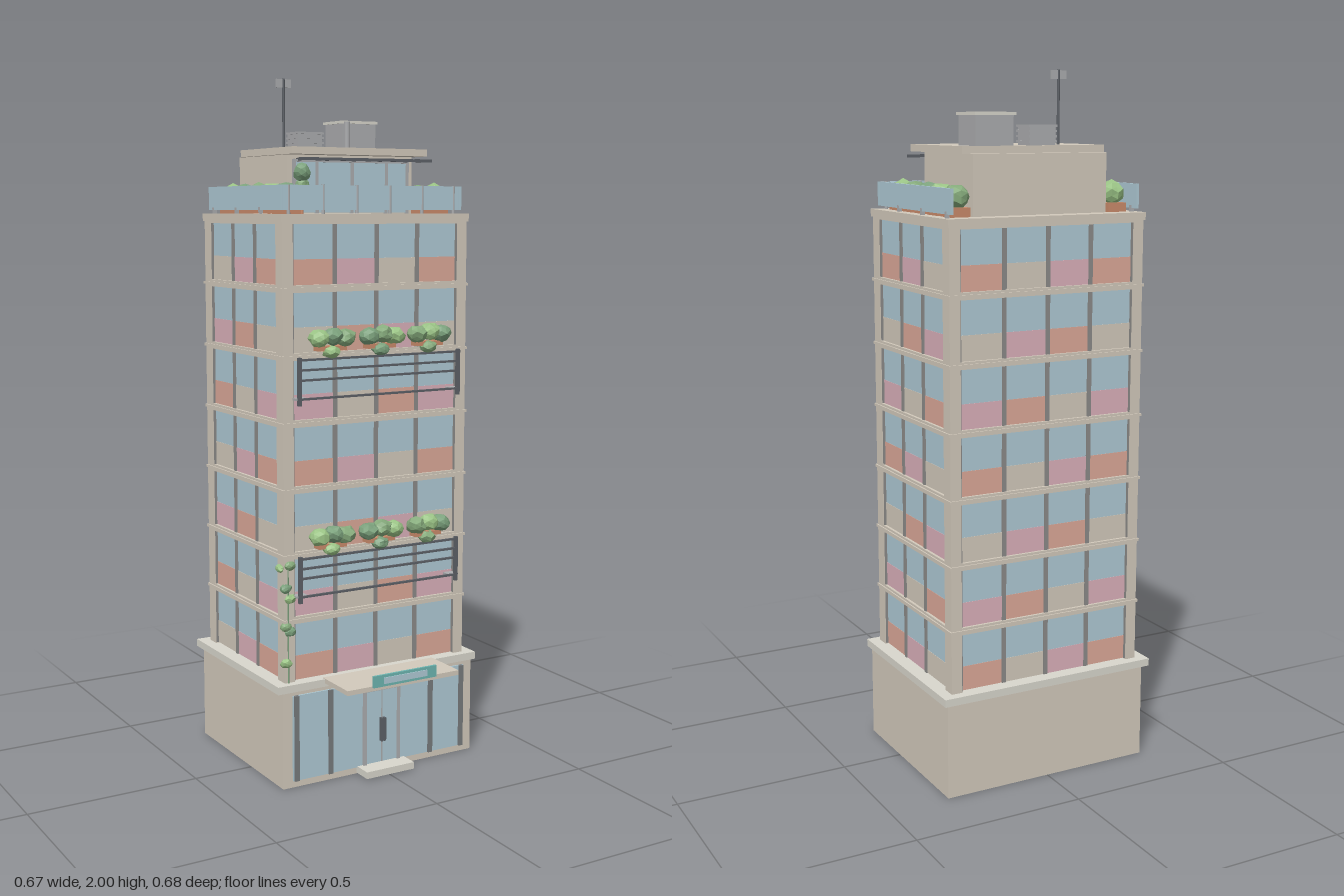
import * as THREE from 'three';

const mats = {};
const mat = (color, flat = false) => mats[color + '' + flat] ??= new THREE.MeshStandardMaterial({ color, flatShading: flat });
const WALL = 0xd2c9bb, TRIM = 0xd8d6cc, GLASS = 0xaec9d4, DARK = 0x5c6066, GREY = 0xabacae,
  SALMON = 0xdba898, PINK = 0xdab0ba, POT = 0xc98a6a, TEAL = 0x6db5b0;
const GREENS = [0x86ab7c, 0x9bc486, 0x7ba17c];
const TZ = -0.068, HX = 0.302, HZ = 0.247;      // tower centre and half sizes
const FLOORS = 7, PITCH = 0.1857, Y0 = 0.305;

// Box from its min and max along each axis
function box(parent, name, color, x0, x1, y0, y1, z0, z1) {
  const m = new THREE.Mesh(new THREE.BoxGeometry(x1 - x0, y1 - y0, z1 - z0), mat(color));
  m.position.set((x0 + x1) / 2, (y0 + y1) / 2, (z0 + z1) / 2);
  m.name = name;
  parent.add(m);
  return m;
}

function rod(parent, name, color, x, z, y0, y1, r) {
  const m = new THREE.Mesh(new THREE.CylinderGeometry(r, r, y1 - y0, 12), mat(color));
  m.position.set(x, (y0 + y1) / 2, z);
  m.name = name;
  parent.add(m);
}

// Faceted clump of leaves, made uneven by a rule on vertex direction
let seed = 1;
function bush(parent, name, x, y, z, rx, ry = rx, rz = rx) {
  const g = new THREE.IcosahedronGeometry(1, 1), p = g.attributes.position, v = new THREE.Vector3();
  const s = seed++;
  for (let i = 0; i < p.count; i++) {
    v.fromBufferAttribute(p, i);
    v.multiplyScalar(1 + 0.13 * Math.sin(v.x * 5 + s * 1.7) * Math.cos(v.y * 4 - v.z * 5 + s));
    p.setXYZ(i, v.x * rx, v.y * ry, v.z * rz);
  }
  g.computeVertexNormals();
  const m = new THREE.Mesh(g, mat(GREENS[s % 3], true));
  m.position.set(x, y, z);
  m.name = name;
  parent.add(m);
}

// One side of the tower: panes, coloured spandrels and mullions, facing local +z
function facade(parent, name, angle, half, out, cols, flip) {
  const g = new THREE.Group();
  g.name = name;
  g.position.z = TZ;
  g.rotation.y = angle;
  const w = 2 * half / cols, colors = [SALMON, PINK, WALL];
  for (let f = 0; f < FLOORS; f++) {
    const y = Y0 + f * PITCH;
    for (let c = 0; c < cols; c++) {
      const x = -half + c * w, k = flip ? cols - 1 - c : c;
      box(g, 'spandrel', colors[(f + k) % 3], x, x + w, y, y + 0.07, out - 0.02, out - 0.008);
      box(g, 'windowPane', GLASS, x, x + w, y + 0.07, y + 0.165, out - 0.02, out - 0.009);
      if (c) box(g, 'mullion', 0x8b8a88, x - 0.006, x + 0.006, y, y + 0.165, out - 0.02, out - 0.004);
    }
    for (const s of [-1, 1])
      box(g, 'windowJamb', 0x8b8a88, s * half - 0.003, s * half + 0.003, y, y + 0.165, out - 0.02, out - 0.002);
  }
  parent.add(g);
}

function buildBase(root) {
  const g = new THREE.Group();
  g.name = 'groundFloor';
  box(g, 'baseBlock', WALL, -0.32, 0.32, 0, 0.28, -0.325, 0.2);
  box(g, 'baseCornice', TRIM, -0.335, 0.335, 0.28, 0.302, -0.342, 0.202);
  box(g, 'shopGlass', GLASS, -0.29, 0.29, 0.02, 0.27, 0.19, 0.205);
  for (const s of [-1, 1]) {
    for (const x of [0.28, 0.17]) box(g, 'shopMullion', 0x777a7c, s * x - 0.007, s * x + 0.007, 0.02, 0.27, 0.2, 0.211);
    box(g, 'doorFrame', GREY, s * 0.057 - 0.005, s * 0.057 + 0.005, 0.02, 0.25, 0.2, 0.212);
    box(g, 'doorHandle', DARK, s * 0.005 - 0.003, s * 0.005 + 0.003, 0.09, 0.16, 0.21, 0.222);
  }
  box(g, 'doorHead', GREY, -0.062, 0.062, 0.242, 0.252, 0.2, 0.212);
  box(g, 'doorGlass', GLASS, -0.052, 0.052, 0.025, 0.242, 0.2, 0.209);
  box(g, 'doorSplit', GREY, -0.0015, 0.0015, 0.025, 0.242, 0.2, 0.211);
  box(g, 'entryStep', TRIM, -0.08, 0.08, 0.003, 0.023, 0.19, 0.26);
  box(g, 'canopy', WALL, -0.186, 0.186, 0.29, 0.304, 0.19, 0.33);
  box(g, 'canopyPanel', TEAL, -0.105, 0.105, 0.3, 0.334, 0.329, 0.336);
  box(g, 'canopyPanelInset', GLASS, -0.072, 0.072, 0.308, 0.326, 0.33, 0.339);
  root.add(g);
}

function buildTower(root) {
  const g = new THREE.Group();
  g.name = 'tower';
  box(g, 'core', WALL, -HX + 0.015, HX - 0.015, 0.3, 1.6, TZ - HZ + 0.015, TZ + HZ - 0.015);
  // corner piers
  for (const sx of [-1, 1]) for (const sz of [-1, 1]) {
    const x = sx * (HX - 0.016), z = TZ + sz * (HZ - 0.0205);
    box(g, 'cornerPier', WALL, x - 0.016, x + 0.016, 0.3, 1.6, z - 0.0205, z + 0.0205);
  }
  // floor bands with a thin projecting lip
  for (let f = 0; f < FLOORS; f++) {
    const y = Y0 + f * PITCH + 0.165;
    box(g, 'floorBand', WALL, -HX, HX, y, y + PITCH - 0.165, TZ - HZ, TZ + HZ);
    box(g, 'floorLip', WALL, -HX - 0.004, HX + 0.004, y + 0.006, y + 0.014, TZ - HZ - 0.004, TZ + HZ + 0.004);
  }
  box(g, 'roofSlab', WALL, -0.307, 0.307, 1.598, 1.612, TZ - HZ - 0.004, TZ + HZ + 0.004);
  facade(g, 'frontWindows', 0, 0.27, HZ, 4, false);
  facade(g, 'backWindows', Math.PI, 0.27, HZ, 4, true);
  facade(g, 'leftWindows', Math.PI / 2, 0.206, HX, 3, false);
  facade(g, 'rightWindows', -Math.PI / 2, 0.206, HX, 3, true);
  root.add(g);
}

// Barred balcony with a row of bushes above it
function buildBalcony(root, y) {
  const g = new THREE.Group();
  g.name = 'balcony';
  g.position.y = y;
  for (const h of [0, 0.052, 0.08, 0.108]) box(g, 'balconyBar', DARK, -0.268, 0.268, h, h + 0.006, 0.196, 0.203);
  for (const s of [-1, 1]) {
    box(g, 'balconyPost', DARK, s * 0.262 - 0.005, s * 0.262 + 0.005, -0.015, 0.118, 0.194, 0.204);
    box(g, 'balconyBracket', GREY, s * 0.255 - 0.018, s * 0.255 + 0.018, 0, 0.006, 0.17, 0.197);
  }
  for (const x of [-0.16, 0, 0.16]) {
    box(g, 'plantPot', POT, x - 0.045, x + 0.045, 0.133, 0.146, 0.175, 0.205);
    bush(g, 'balconyBush', x - 0.04, 0.168, 0.2, 0.03, 0.025, 0.03);
    bush(g, 'balconyBush', x + 0.002, 0.173, 0.203, 0.03, 0.025, 0.028);
    bush(g, 'balconyBush', x + 0.042, 0.167, 0.2, 0.031, 0.025, 0.03);
    bush(g, 'balconyBush', x - 0.002, 0.13, 0.2, 0.026, 0.018, 0.024);
  }
  root.add(g);
}

function buildRoof(root) {
  const g = new THREE.Group();
  g.name = 'roofTerrace';
  // glass balustrade on three sides
  for (const s of [-1, 1]) {
    box(g, 'sideBalustrade', GLASS, s * 0.288 - 0.004, s * 0.288 + 0.004, 1.622, 1.69, -0.305, 0.165);
    for (const z of [-0.28, -0.13, 0.02]) box(g, 'balustradeFoot', GREY, s * 0.288 - 0.005, s * 0.288 + 0.005, 1.61, 1.63, z, z + 0.01);
    for (let i = 0; i < 5; i++) {
      const z = -0.238 + i * 0.083, x = s * 0.244;
      box(g, 'planter', POT, x - 0.029, x + 0.029, 1.61, 1.637, z - 0.031, z + 0.031);
      bush(g, 'terraceBush', x, 1.665, z, 0.036, 0.033, 0.038);
    }
  }
  box(g, 'frontBalustrade', GLASS, -0.296, 0.294, 1.622, 1.69, 0.152, 0.159);
  for (let i = 0; i < 6; i++) rod(g, 'balustradePost', GREY, -0.27 + i * 0.108, 0.155, 1.61, 1.691, 0.005);
  // penthouse
  box(g, 'penthouse', WALL, -0.207, 0.207, 1.61, 1.776, -0.268, 0.03);
  box(g, 'penthouseGlass', GLASS, -0.185, 0.185, 1.615, 1.76, 0.02, 0.036);
  for (const x of [-0.187, -0.115, 0, 0.115, 0.187]) box(g, 'penthouseMullion', GREY, x - 0.004, x + 0.004, 1.612, 1.764, 0.03, 0.04);
  box(g, 'penthouseHead', GREY, -0.19, 0.19, 1.756, 1.764, 0.03, 0.04);
  box(g, 'penthouseRoof', WALL, -0.221, 0.221, 1.776, 1.796, -0.232, 0.09);
  // pergola
  box(g, 'pergolaBeam', DARK, -0.216, 0.216, 1.758, 1.766, 0.117, 0.125);
  for (let i = -2; i <= 2; i++) box(g, 'pergolaRafter', DARK, i * 0.087 - 0.004, i * 0.087 + 0.004, 1.76, 1.767, 0.03, 0.12);
  rod(g, 'treeTrunk', POT, -0.21, 0.122, 1.61, 1.72, 0.004);
  bush(g, 'terraceTree', -0.21, 1.725, 0.122, 0.023, 0.026, 0.024);
  bush(g, 'terraceTree', -0.205, 1.69, 0.115, 0.02);
  // rooftop equipment
  box(g, 'ventUnit', GREY, -0.066, 0.014, 1.796, 1.85, -0.229, -0.162);
  for (let i = 0; i < 4; i++) box(g, 'ventSlat', GREY, -0.07, 0.018, 1.803 + i * 0.014, 1.809 + i * 0.014, -0.232, -0.158);
  box(g, 'tankHouse', GREY, 0.066, 0.181, 1.796, 1.877, -0.233, -0.132);
  box(g, 'tankHouseCap', TRIM, 0.061, 0.186, 1.877, 1.885, -0.238, -0.127);
  rod(g, 'fluePipe', GREY, 0.061, -0.096, 1.796, 1.88, 0.009);
  rod(g, 'antennaMast', DARK, -0.124, -0.145, 1.796, 2, 0.004);
  box(g, 'antennaPlate', GREY, -0.149, -0.1, 1.974, 1.998, -0.147, -0.143);
  root.add(g);
}

// Climbing plant on the front corner
function buildVine(root) {
  const g = new THREE.Group();
  g.name = 'vine';
  rod(g, 'vineStem', 0x7ba17c, -0.292, 0.182, 0.302, 0.65, 0.002);
  [0.36, 0.45, 0.465, 0.545, 0.575, 0.64].forEach((y, i) =>
    bush(g, 'vineLeaves', -0.292 + (i % 2 ? 0.008 : -0.005), y, 0.178, 0.018, 0.014, 0.012));
  bush(g, 'vineLeaves', -0.303, 0.63, 0.155, 0.012, 0.012, 0.02);
  root.add(g);
}

export function createModel() {
  const root = new THREE.Group();
  root.name = 'apartmentTower';
  buildBase(root);
  buildTower(root);
  for (const y of [0.548, 1.105]) buildBalcony(root, y);
  buildRoof(root);
  buildVine(root);
  return root;
}
